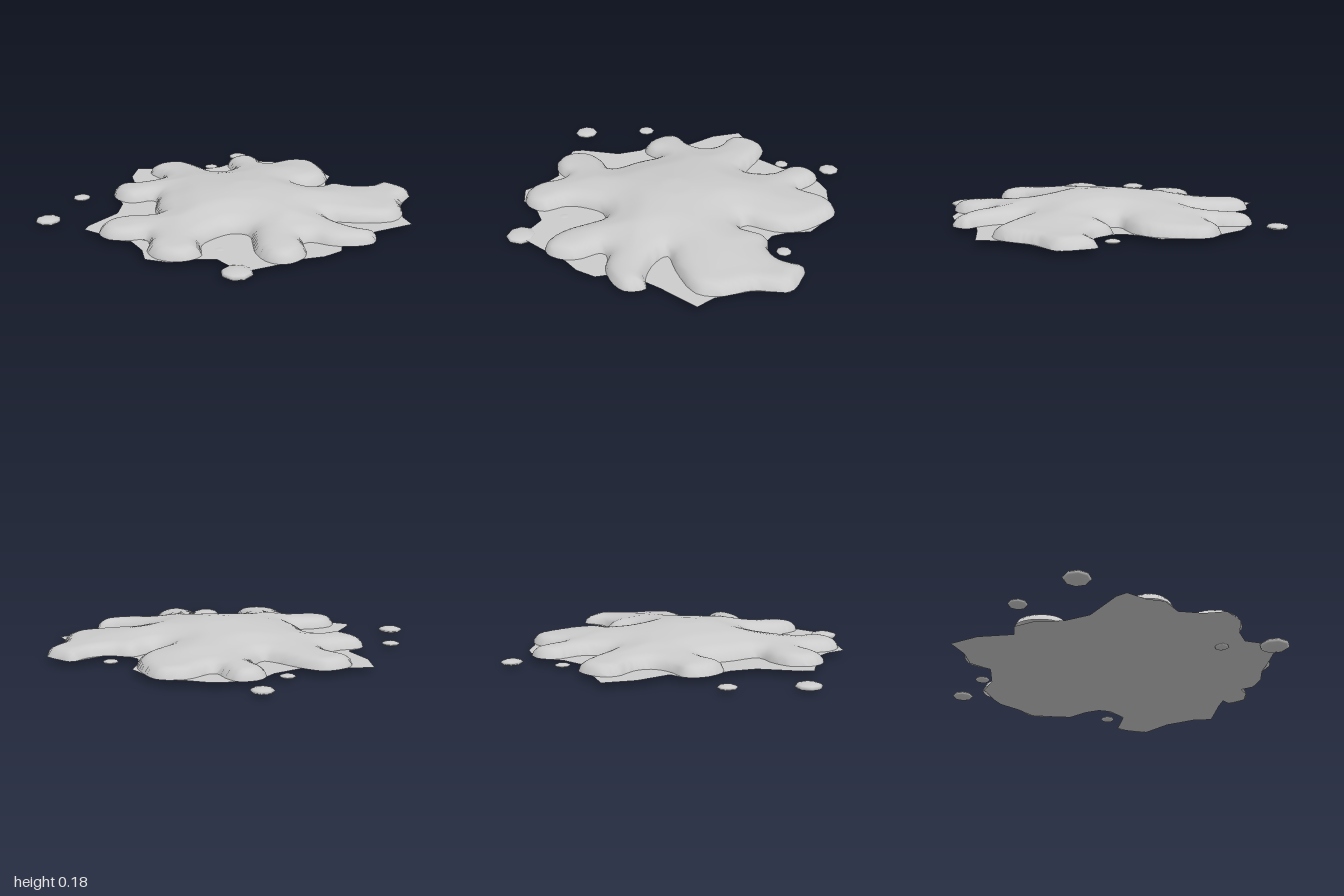
import * as THREE from 'three';

const material = new THREE.MeshStandardMaterial({ color: 0xcccccc, side: THREE.DoubleSide });
const FLOOR = 0.035;

// x, z pairs around the thick, lobed splash
const splashOutline = [
  0.98, 0, 0.93, 0.09, 0.82, 0.17, 0.7, 0.2, 0.68, 0.25, 0.76, 0.33, 0.8, 0.42, 0.77, 0.54, 0.68, 0.57,
  0.56, 0.52, 0.46, 0.42, 0.37, 0.34, 0.28, 0.38, 0.25, 0.5, 0.26, 0.62, 0.36, 0.74, 0.32, 0.86, 0.2, 0.91,
  0.09, 0.87, 0.02, 0.78, -0.05, 0.75, -0.1, 0.82, -0.2, 0.88, -0.31, 0.85, -0.36, 0.72, -0.3, 0.6, -0.2, 0.5,
  -0.32, 0.38, -0.45, 0.25, -0.52, 0.37, -0.62, 0.39, -0.74, 0.32, -0.77, 0.22, -0.68, 0.12, -0.64, 0,
  -0.7, -0.08, -0.85, -0.13, -0.88, -0.24, -0.8, -0.37, -0.68, -0.38, -0.42, -0.33, -0.4, -0.36, -0.43, -0.5,
  -0.56, -0.6, -0.58, -0.7, -0.5, -0.79, -0.4, -0.76, -0.3, -0.7, -0.24, -0.88, -0.11, -0.96, 0.02, -0.9,
  0.15, -0.78, 0.19, -0.65, 0.17, -0.46, 0.25, -0.46, 0.29, -0.62, 0.42, -0.66, 0.5, -0.75, 0.52, -0.88,
  0.6, -0.88, 0.74, -0.84, 0.78, -0.65, 0.88, -0.5, 0.89, -0.36, 0.72, -0.2, 0.6, -0.12, 0.7, -0.07,
  0.85, -0.07, 0.93, -0.1,
];

// x, z pairs around the thin film under the splash
const filmOutline = [
  1, -0.4, 0.9, -0.17, 0.87, -0.08, 0.93, -0.1, 0.98, 0, 0.93, 0.09, 0.86, 0.13, 0.9, 0.2, 0.87, 0.32, 0.8, 0.42,
  0.74, 0.57, 0.68, 0.7, 0.66, 0.76, 0.45, 0.71, 0.36, 0.78, 0.28, 0.9, 0.15, 0.95, 0.05, 0.87, -0.08, 0.82,
  -0.2, 0.88, -0.3, 0.85, -0.42, 0.86, -0.45, 0.8, -0.47, 0.55, -0.56, 0.42, -0.7, 0.33, -0.77, 0.22,
  -0.73, 0.13, -0.9, 0, -1, -0.16, -0.88, -0.25, -0.8, -0.36, -0.66, -0.38, -0.58, -0.55, -0.57, -0.7,
  -0.45, -0.82, -0.38, -0.87, -0.24, -0.9, -0.11, -0.95, 0.02, -0.9, 0.13, -0.85, 0.18, -0.72, 0.24, -0.64,
  0.32, -0.62, 0.45, -0.67, 0.52, -0.87, 0.6, -0.88, 0.74, -0.84, 0.79, -0.64, 0.9, -0.47,
];

const toPoints = (flat) => Array.from({ length: flat.length / 2 }, (_, i) => new THREE.Vector2(flat[2 * i], flat[2 * i + 1]));

// Closest point on a closed outline, its distance, and whether p lies inside
function probe(p, outline) {
  let best = Infinity, x = 0, z = 0, inside = false;
  outline.forEach((a, i) => {
    const b = outline[(i + 1) % outline.length];
    const dx = b.x - a.x, dz = b.y - a.y;
    const t = THREE.MathUtils.clamp(((p.x - a.x) * dx + (p.y - a.y) * dz) / (dx * dx + dz * dz), 0, 1);
    const qx = a.x + t * dx, qz = a.y + t * dz;
    const d = Math.hypot(p.x - qx, p.y - qz);
    if (d < best) { best = d; x = qx; z = qz; }
    if ((a.y > p.y) !== (b.y > p.y) && p.x < a.x + ((p.y - a.y) * dx) / dz) inside = !inside;
  });
  return { d: best, x, z, inside };
}

// Rounded rim, then a gentle mound that sinks towards the notches
function splashHeight(x, z, d) {
  const rim = Math.min(1, d / 0.085);
  const r = Math.hypot(x - 0.08, z + 0.02);
  const mound = Math.min(1, Math.max(0, 1.12 - r / 0.78));
  const spread = THREE.MathUtils.smoothstep(d, 0, 0.26);
  return FLOOR + 0.06 * Math.sqrt(1 - (1 - rim) ** 2) + 0.085 * mound * (0.3 + 0.7 * spread) * rim;
}

// Grid whose outer vertices are pulled onto the outline
function splashGeometry() {
  const curve = new THREE.CatmullRomCurve3(
    toPoints(splashOutline).map((p) => new THREE.Vector3(p.x, 0, p.y)), true, 'centripetal');
  const outline = Array.from({ length: 195 }, (_, i) => curve.getPoint(i / 195)).map((v) => new THREE.Vector2(v.x, v.z));
  const n = 84, positions = [], inside = [], index = [];
  for (let j = 0; j <= n; j++) {
    for (let i = 0; i <= n; i++) {
      const p = new THREE.Vector2((i / n) * 2.04 - 1.02, (j / n) * 2.04 - 1.02);
      const q = probe(p, outline);
      inside.push(q.inside);
      if (q.inside) positions.push(p.x, splashHeight(p.x, p.y, q.d), p.y);
      else positions.push(q.x, FLOOR, q.z);
    }
  }
  for (let j = 0; j < n; j++) {
    for (let i = 0; i < n; i++) {
      const a = j * (n + 1) + i, b = a + 1, c = a + n + 1, d = c + 1;
      for (const tri of [[a, c, b], [b, c, d]]) if (tri.some((k) => inside[k])) index.push(...tri);
    }
  }
  const g = new THREE.BufferGeometry();
  g.setAttribute('position', new THREE.Float32BufferAttribute(positions, 3));
  g.setIndex(index);
  g.computeVertexNormals();
  return g;
}

export function createModel() {
  const group = new THREE.Group();
  const add = (name, geometry) => {
    const mesh = new THREE.Mesh(geometry, material);
    mesh.name = name;
    group.add(mesh);
    return mesh;
  };

  add('splash', splashGeometry());

  // Thin flat film spreading past the lobes
  const film = new THREE.ShapeGeometry(new THREE.Shape(toPoints(filmOutline)));
  film.rotateX(Math.PI / 2);
  film.translate(0, FLOOR - 0.001, 0);
  add('film', film);

  // Flattened droplets: x, z, radius
  const drops = [
    [-0.66, -0.84, 0.065], [-0.65, -0.53, 0.045], [0.36, -0.735, 0.045], [-0.865, 0.48, 0.055],
    [-0.72, 0.875, 0.076], [0.625, 0.76, 0.088], [0.37, 0.595, 0.042],
  ];
  for (const [x, z, r] of drops) {
    const drop = add('droplet', new THREE.SphereGeometry(1, 8, 6));
    drop.scale.set(r, r * 0.28, r);
    drop.position.set(x, 0.025, z);
    drop.rotation.y = Math.PI / 8;
  }
  return group;
}
